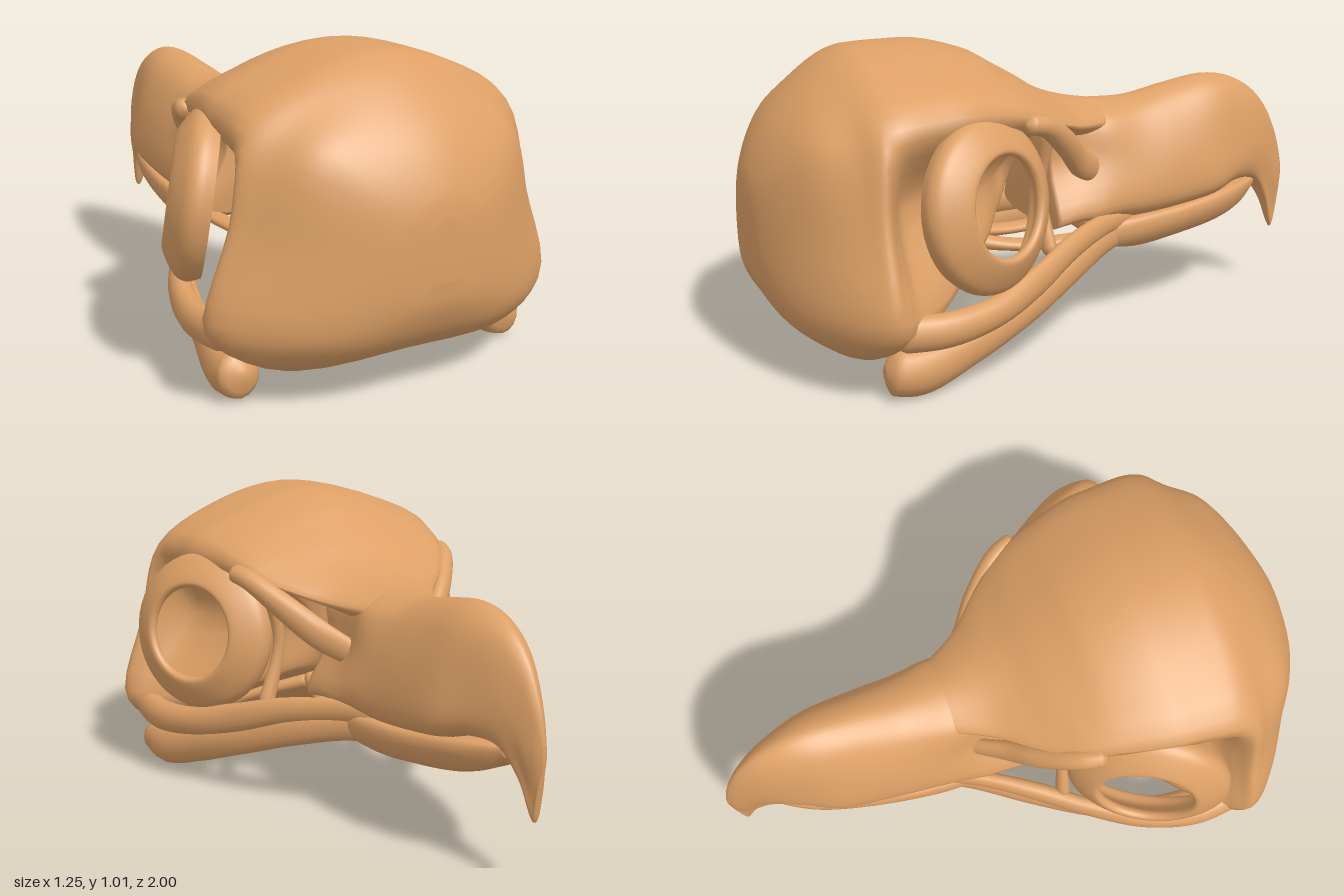
import * as THREE from 'three';

const V = (x, y, z) => new THREE.Vector3(x, y, z);
const material = new THREE.MeshStandardMaterial({ color: 0xdda066, side: THREE.DoubleSide });

// Skins closed rings of points (ordered toward -z) and closes both ends at their centres.
function skin(rings) {
  const n = rings[0].length;
  const cap = (ring) => {
    const c = ring.reduce((s, p) => s.add(p), V(0, 0, 0)).divideScalar(n);
    return ring.map(() => c);
  };
  const rows = [cap(rings[0]), ...rings, cap(rings[rings.length - 1])];
  const index = [];
  for (let i = 0; i < rows.length - 1; i++) {
    for (let j = 0; j < n; j++) {
      const k = (j + 1) % n;
      const a = i * n + j, b = i * n + k, c = a + n, d = b + n;
      index.push(a, b, c, b, d, c);
    }
  }
  const geo = new THREE.BufferGeometry().setFromPoints(rows.flat());
  geo.setIndex(index);
  geo.computeVertexNormals();
  return geo;
}

// Symmetric body from stations: [z, top, brow x, brow y, wall x, wall y, low x, low y, bottom]
function body(stations, steps = 64, half = 28) {
  const rail = (points) => new THREE.CatmullRomCurve3(points).getPoints(steps);
  const rails = [
    (s) => V(0, s[1], s[0]),
    (s) => V(s[2] * 0.55, s[1] - (s[1] - s[3]) * 0.3, s[0]),
    (s) => V(s[2], s[3], s[0]),
    (s) => V(s[4], s[5], s[0]),
    (s) => V(s[6], s[7], s[0]),
    (s) => V(s[6] * 0.74, s[8] + (s[7] - s[8]) * 0.15, s[0]),
    (s) => V(0, s[8], s[0]),
  ].map((f) => rail(stations.map(f)));
  const rings = [];
  for (let i = 0; i <= steps; i++) {
    const right = rails.map((r) => r[i]);
    const left = right.slice(1, -1).reverse().map((p) => V(-p.x, p.y, p.z));
    const loop = new THREE.CatmullRomCurve3([...right, ...left], true);
    rings.push(loop.getPoints(half * 2).slice(0, -1));
  }
  return skin(rings);
}

// Rounded bone strut through points [x, y, z, half width, half height]
function strut(points, side, steps = 40, sides = 16) {
  const curve = new THREE.CatmullRomCurve3(points.map((p) => V(p[0] * side, p[1], p[2])));
  const size = new THREE.CatmullRomCurve3(points.map((p) => V(p[3], p[4], 0)));
  const upright = Math.abs(points[0][1] - points[points.length - 1][1]) > 0.3;
  const ref = upright ? V(0, 0, 1) : V(0, 1, 0);
  const rings = [];
  for (let i = 0; i <= steps; i++) {
    const t = i / steps;
    const p = curve.getPoint(t), r = size.getPoint(t), dir = curve.getTangent(t);
    const round = Math.min(1, Math.sqrt(Math.min(t, 1 - t) * 20 + 0.1));
    const across = dir.clone().cross(ref).normalize();
    const up = across.clone().cross(dir).normalize();
    rings.push(Array.from({ length: sides }, (_, j) => {
      const a = (j / sides) * Math.PI * 2;
      return p.clone()
        .addScaledVector(up, Math.cos(a) * r.y * round)
        .addScaledVector(across, Math.sin(a) * r.x * round);
    }));
  }
  return skin(rings);
}

export function createModel() {
  const skull = new THREE.Group();
  skull.name = 'birdSkull';
  const add = (name, geometry) => {
    const mesh = new THREE.Mesh(geometry, material);
    mesh.name = name;
    skull.add(mesh);
    return mesh;
  };

  // Domed braincase, hollowed at the eye sockets and thinning to the brow plate
  add('cranium', body([
    [1.0, 0.56, 0.05, 0.52, 0.06, 0.47, 0.05, 0.42, 0.38],
    [0.985, 0.64, 0.14, 0.57, 0.17, 0.46, 0.16, 0.34, 0.29],
    [0.93, 0.76, 0.26, 0.66, 0.31, 0.46, 0.32, 0.26, 0.19],
    [0.85, 0.86, 0.36, 0.74, 0.43, 0.48, 0.47, 0.24, 0.13],
    [0.75, 0.95, 0.43, 0.77, 0.52, 0.5, 0.59, 0.24, 0.09],
    [0.69, 0.985, 0.48, 0.79, 0.545, 0.54, 0.62, 0.24, 0.1],
    [0.65, 1.0, 0.49, 0.8, 0.48, 0.55, 0.61, 0.24, 0.12],
    [0.6, 1.005, 0.49, 0.81, 0.38, 0.55, 0.57, 0.24, 0.15],
    [0.5, 1.008, 0.48, 0.82, 0.32, 0.56, 0.48, 0.25, 0.22],
    [0.4, 1.005, 0.47, 0.825, 0.27, 0.57, 0.38, 0.3, 0.3],
    [0.25, 0.965, 0.43, 0.81, 0.19, 0.58, 0.22, 0.39, 0.38],
    [0.16, 0.915, 0.4, 0.79, 0.11, 0.6, 0.1, 0.48, 0.43],
    [0.09, 0.875, 0.36, 0.77, 0.28, 0.735, 0.18, 0.72, 0.71],
    [0.0, 0.82, 0.29, 0.74, 0.23, 0.715, 0.16, 0.7, 0.69],
    [-0.1, 0.785, 0.2, 0.71, 0.16, 0.68, 0.12, 0.66, 0.64],
    [-0.28, 0.755, 0.1, 0.7, 0.09, 0.66, 0.08, 0.62, 0.6],
  ], 90));

  // Hooked upper beak, pinched at the nostrils
  add('upperBeak', body([
    [0.01, 0.78, 0.15, 0.7, 0.15, 0.57, 0.23, 0.39, 0.36],
    [-0.08, 0.77, 0.13, 0.7, 0.15, 0.57, 0.23, 0.41, 0.37],
    [-0.15, 0.768, 0.13, 0.7, 0.16, 0.58, 0.225, 0.41, 0.37],
    [-0.22, 0.765, 0.14, 0.7, 0.175, 0.58, 0.215, 0.42, 0.365],
    [-0.35, 0.765, 0.12, 0.7, 0.18, 0.56, 0.2, 0.42, 0.36],
    [-0.5, 0.795, 0.11, 0.72, 0.17, 0.58, 0.185, 0.43, 0.375],
    [-0.65, 0.818, 0.1, 0.74, 0.15, 0.59, 0.165, 0.45, 0.4],
    [-0.75, 0.805, 0.08, 0.73, 0.115, 0.6, 0.125, 0.48, 0.43],
    [-0.85, 0.755, 0.055, 0.69, 0.08, 0.58, 0.08, 0.48, 0.42],
    [-0.92, 0.68, 0.035, 0.62, 0.05, 0.5, 0.04, 0.4, 0.33],
    [-0.965, 0.59, 0.022, 0.54, 0.03, 0.42, 0.015, 0.3, 0.215],
    [-0.985, 0.53, 0.015, 0.48, 0.02, 0.42, 0.012, 0.35, 0.3],
    [-1.0, 0.46, 0.005, 0.45, 0.006, 0.43, 0.005, 0.41, 0.4],
  ]));

  // Joined front of the lower jaw
  add('lowerBeak', body([
    [-0.17, 0.35, 0.19, 0.36, 0.205, 0.32, 0.185, 0.28, 0.3],
    [-0.3, 0.36, 0.19, 0.37, 0.2, 0.32, 0.175, 0.275, 0.25],
    [-0.5, 0.385, 0.165, 0.385, 0.175, 0.345, 0.15, 0.295, 0.265],
    [-0.7, 0.42, 0.12, 0.41, 0.13, 0.38, 0.11, 0.33, 0.3],
    [-0.8, 0.43, 0.08, 0.42, 0.085, 0.4, 0.07, 0.36, 0.34],
    [-0.86, 0.43, 0.04, 0.425, 0.045, 0.415, 0.04, 0.4, 0.39],
  ], 40));

  for (const [side, label] of [[1, 'left'], [-1, 'right']]) {
    // Lower jaw branch
    add(label + 'JawBranch', strut([
      [0.5, 0.09, 0.7, 0.07, 0.07],
      [0.5, 0.078, 0.6, 0.065, 0.078],
      [0.47, 0.115, 0.42, 0.04, 0.062],
      [0.41, 0.185, 0.2, 0.03, 0.05],
      [0.31, 0.26, 0, 0.028, 0.05],
      [0.2, 0.31, -0.18, 0.025, 0.045],
      [0.15, 0.32, -0.28, 0.02, 0.04],
    ], side));

    // Cheek arch under the eye
    add(label + 'CheekArch', strut([
      [0.54, 0.22, 0.7, 0.05, 0.06],
      [0.555, 0.215, 0.52, 0.045, 0.055],
      [0.51, 0.235, 0.34, 0.04, 0.05],
      [0.42, 0.285, 0.16, 0.03, 0.05],
      [0.32, 0.335, 0.01, 0.03, 0.045],
      [0.22, 0.365, -0.15, 0.025, 0.04],
      [0.14, 0.38, -0.32, 0.02, 0.03],
    ], side));

    // Brow spur sweeping down to the beak
    add(label + 'BrowSpur', strut([
      [0.41, 0.785, 0.2, 0.03, 0.03],
      [0.38, 0.765, 0.12, 0.035, 0.035],
      [0.3, 0.68, 0.01, 0.035, 0.045],
      [0.22, 0.6, -0.07, 0.03, 0.05],
      [0.12, 0.53, -0.2, 0.02, 0.04],
    ], side));

    // Thin post in front of the eye
    add(label + 'EyePost', strut([
      [0.33, 0.74, 0.09, 0.025, 0.025],
      [0.29, 0.55, 0.1, 0.02, 0.018],
      [0.35, 0.33, 0.09, 0.03, 0.025],
    ], side));

    // Palate bars under the skull
    add(label + 'PalateBar', strut([
      [0.06, 0.34, 0.32, 0.025, 0.03],
      [0.1, 0.3, 0.08, 0.04, 0.02],
      [0.13, 0.31, -0.22, 0.03, 0.02],
    ], side));
    add(label + 'PalateBrace', strut([
      [0.45, 0.16, 0.58, 0.03, 0.035],
      [0.25, 0.26, 0.44, 0.02, 0.02],
      [0.06, 0.33, 0.3, 0.025, 0.025],
    ], side));

    // Thin flared bony shell around the eye, open at the back
    const profile = [
      [0.258, -0.055], [0.272, -0.015], [0.262, 0.02], [0.225, 0.05],
      [0.185, 0.072], [0.165, 0.075], [0.155, 0.06], [0.165, 0.042], [0.2, 0.022],
      [0.235, -0.01], [0.245, -0.045], [0.258, -0.055],
    ].map(([r, h]) => new THREE.Vector2(r, h));
    const smooth = new THREE.SplineCurve(profile).getPoints(48);
    const ring = add(label + 'EyeRing', new THREE.LatheGeometry(smooth, 48));
    ring.position.set(0.465 * side, 0.555, 0.34);
    ring.quaternion.setFromUnitVectors(V(0, 1, 0), V(0.86 * side, 0.14, -0.49).normalize());
  }
  return skull;
}
